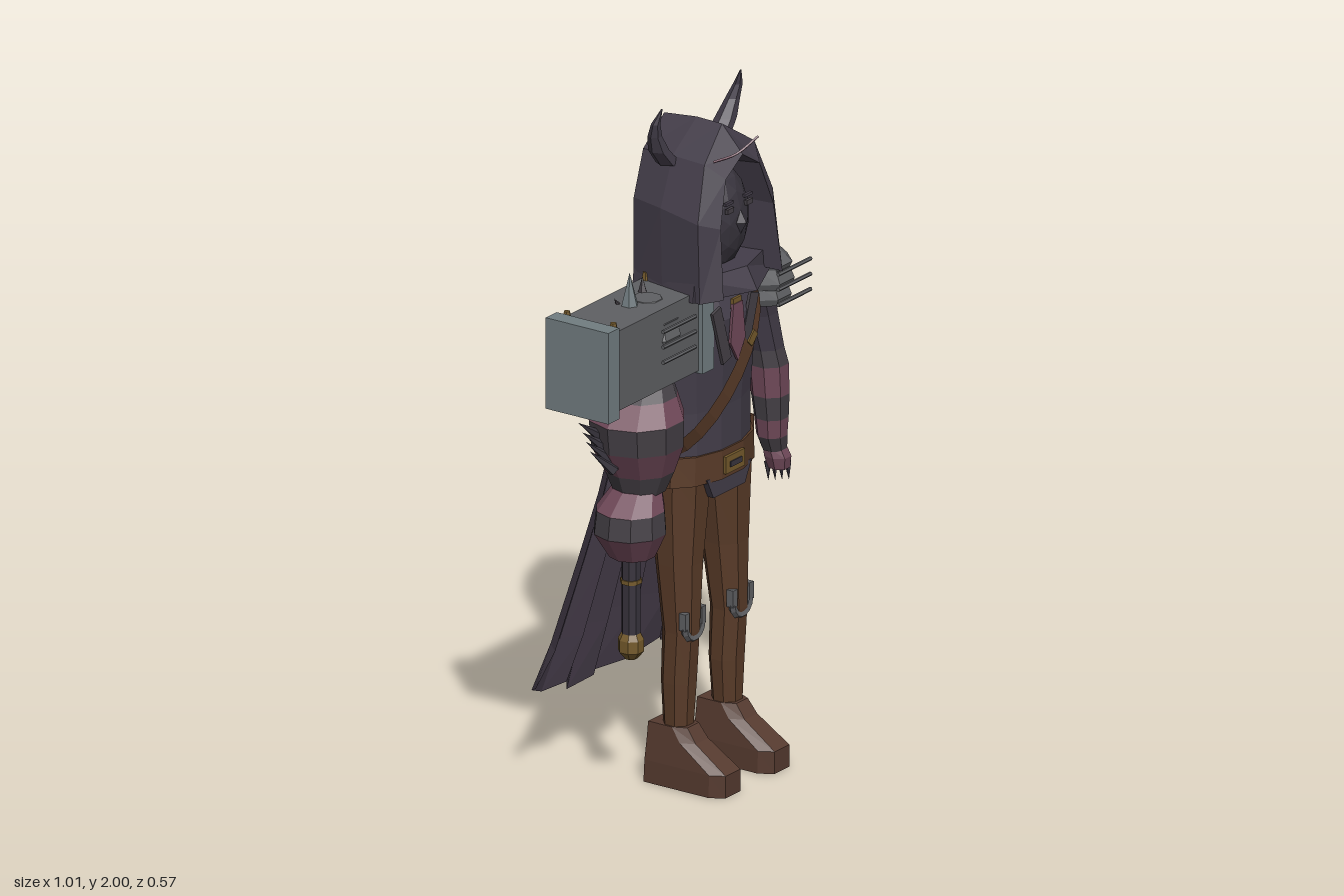
import * as THREE from 'three';

const mat = (name, color, side = THREE.FrontSide) =>
  new THREE.MeshStandardMaterial({ name, color, side, flatShading: true });
const M = {
  cloth: mat('hood cloth', 0x433d49, THREE.DoubleSide),
  cape: mat('cape cloth', 0x433a47, THREE.DoubleSide),
  shadow: mat('dark face', 0x38343d),
  stripe: mat('dark hide', 0x454046),
  pink: mat('pink hide', 0x704959),
  leather: mat('brown leather', 0x593b28, THREE.DoubleSide),
  boot: mat('boot leather', 0x553a2f),
  steel: mat('steel', 0x5f6063),
  edge: mat('light steel', 0x727d81),
  gold: mat('gold', 0x745a2c),
};

export function createModel() {
  const model = new THREE.Group();
  model.name = 'hoodedWarrior';
  const body = new THREE.Group();
  body.name = 'body';
  body.position.x = 0.075;
  model.add(body);

  const add = (name, geo, material, x = 0, y = 0, z = 0) => {
    const g = geo.index ? geo.toNonIndexed() : geo;
    g.computeVertexNormals();
    const mesh = new THREE.Mesh(g, material);
    mesh.name = name;
    mesh.position.set(x, y, z);
    body.add(mesh);
    return mesh;
  };
  const box = (name, m, w, h, d, x, y, z) => add(name, new THREE.BoxGeometry(w, h, d), m, x, y, z);

  // Skin a list of cross-sections
  const loft = (rings, closed = true, caps = true) => {
    const n = rings[0].length, pos = rings.flat(2), idx = [];
    for (let r = 0; r < rings.length - 1; r++)
      for (let i = 0; i < (closed ? n : n - 1); i++) {
        const a = r * n + i, b = r * n + (i + 1) % n;
        idx.push(a, b, a + n, b, b + n, a + n);
      }
    if (caps) {
      const top = (rings.length - 1) * n;
      for (let i = 1; i < n - 1; i++) idx.push(0, i + 1, i, top, top + i, top + i + 1);
    }
    const g = new THREE.BufferGeometry();
    g.setAttribute('position', new THREE.Float32BufferAttribute(pos, 3));
    g.setIndex(idx);
    return g;
  };
  // Elliptical ring from [x, y, z, rx, rz]
  const ring = ([x, y, z, rx, rz = rx], n, s = 1) => Array.from({ length: n }, (_, i) => {
    const a = (i + 0.5) / n * Math.PI * 2;
    return [x * s + Math.sin(a) * rx, y, z + Math.cos(a) * rz];
  });
  const limb = (name, m, rows, n = 8, s = 1) => add(name, loft(rows.map(r => ring(r, n, s))), m);
  // Limb whose material alternates per segment
  const striped = (name, mats, rows, n) => {
    for (let i = 0; i < rows.length - 1; i++) limb(name + (i + 1), mats[i], [rows[i], rows[i + 1]], n);
  };
  const spike = (name, m, from, to, r, n = 5) => {
    const a = new THREE.Vector3(...from), d = new THREE.Vector3(...to).sub(a);
    const c = add(name, new THREE.ConeGeometry(r, d.length(), n), m);
    c.position.copy(a).addScaledVector(d, 0.5);
    c.quaternion.setFromUnitVectors(new THREE.Vector3(0, 1, 0), d.normalize());
  };

  // Hood: mirrored arch sections from inner rim to flat back
  const arch = half => [...half, ...half.slice(0, 3).reverse().map(([x, y, z]) => [-x, y, z])];
  add('hood', loft([
    [[-.11, 1.47, .15], [-.11, 1.66, .13], [-.07, 1.78, .13], [0, 1.83, .13]],
    [[-.14, 1.46, .27], [-.125, 1.66, .25], [-.08, 1.79, .235], [0, 1.84, .235]],
    [[-.183, 1.45, .22], [-.178, 1.68, .21], [-.118, 1.835, .19], [0, 1.915, .165]],
    [[-.165, 1.45, .08], [-.172, 1.7, .08], [-.115, 1.838, .08], [0, 1.917, .08]],
    [[-.145, 1.45, -.03], [-.145, 1.7, -.03], [-.1, 1.83, -.03], [0, 1.905, -.03]],
    [[0, 1.45, -.03], [0, 1.65, -.03], [0, 1.8, -.03], [0, 1.905, -.03]],
  ].map(arch), false, false), M.cloth);
  const cowlRing = (y, w, f, b) => [[0, y, f], [w, y, .2], [w * .8, y, -.03], [0, y, b], [-w * .8, y, -.03], [-w, y, .2]];
  add('cowl', loft([cowlRing(1.45, .188, .285, -.09), cowlRing(1.515, .178, .25, -.03)]), M.cloth);

  // Face
  add('face', new THREE.IcosahedronGeometry(1, 2).scale(.115, .165, .11), M.shadow, 0, 1.64, .12);
  for (const s of [-1, 1]) {
    box('eye', M.stripe, .03, .014, .009, s * .045, 1.685, .223);
    box('brow', M.cloth, .035, .008, .009, s * .045, 1.705, .219);
    limb('horn', M.cloth, [[.115, 1.815, .065, .035], [.16, 1.865, .065, .03], [.185, 1.915, .07, .02],
      [.195, 1.955, .08, .013], [.187, 2, .095, .002]], 6, s);
  }
  add('nose', new THREE.OctahedronGeometry(1).scale(.02, .035, .02), M.shadow, 0, 1.64, .228);
  const curl = new THREE.CatmullRomCurve3([[-.12, 1.85, .22], [-.05, 1.86, .25], [.01, 1.9, .28]]
    .map(p => new THREE.Vector3(...p)));
  add('hoodThread', new THREE.TubeGeometry(curl, 8, .004, 4), M.pink);

  // Torso, collar and tie
  limb('torso', M.cloth, [[0, .95, .1, .18, .1], [0, 1.1, .1, .18, .1], [0, 1.25, .095, .195, .115],
    [0, 1.36, .09, .2, .125], [0, 1.42, .08, .16, .1], [0, 1.47, .08, .08, .08]], 12);
  const tie = new THREE.Shape([[-.022, 1.4], [-.035, 1.29], [0, 1.23], [.035, 1.29], [.022, 1.4]]
    .map(p => new THREE.Vector2(...p)));
  add('tie', new THREE.ExtrudeGeometry(tie, { depth: .008, bevelEnabled: false }), M.pink, 0, 0, .212);
  box('collarPin', M.gold, .04, .03, .009, 0, 1.4, .213);
  for (const s of [-1, 1]) {
    const lapel = box('lapel', M.stripe, .04, .17, .009, s * .065, 1.32, .208);
    lapel.rotation.z = -s * .3;
  }

  // Diagonal strap wrapped around the torso
  const band = o => Array.from({ length: 24 }, (_, i) => {
    const a = i / 24 * Math.PI * 2;
    return [.195 * Math.cos(a) - o * .7, 1.195 + .205 * Math.cos(a) + o * .7, .095 + .125 * Math.sin(a)];
  });
  add('chestStrap', loft([band(-.028), band(.028)], true, false), M.leather);
  box('strapBuckle', M.gold, .025, .04, .009, .075, 1.272, .213).rotation.z = -.8;

  // Belt, buckle, pouch, flap
  limb('belt', M.leather, [[0, .89, .1, .2, .105], [0, .975, .1, .195, .105]], 12);
  box('buckle', M.gold, .09, .05, .012, 0, .93, .205);
  box('buckleInset', M.shadow, .055, .016, .008, 0, .93, .211);
  box('beltPouch', M.leather, .065, .13, .1, .21, .905, .05);
  const flap = new THREE.Shape([[-.105, .9], [-.075, .84], [.075, .84], [.105, .9]].map(p => new THREE.Vector2(...p)));
  add('beltFlap', new THREE.ExtrudeGeometry(flap, { depth: .02, bevelEnabled: false }), M.cloth, 0, 0, .17);
  limb('hips', M.leather, [[0, .83, .09, .1, .07], [0, .9, .095, .185, .095]], 10);

  // Legs, knee guards, boots
  const sole = (s, y, w, f, b) => [[.6, f], [1, f - .04], [1, b], [-1, b], [-1, f - .04], [-.6, f]]
    .map(([k, z]) => [s * .116 + k * w, y, z]);
  for (const s of [-1, 1]) {
    limb('leg', M.leather, [[.116, .15, .1, .042, .042], [.113, .3, .1, .053, .05], [.113, .45, .107, .052, .053],
      [.108, .65, .097, .068, .068], [.1, .82, .09, .083, .085], [.1, .92, .09, .085, .09]], 8, s);
    const knee = add('kneeGuard', new THREE.TorusGeometry(.039, .012, 5, 7, Math.PI), M.steel, s * .113, .47, .148);
    knee.rotation.z = Math.PI;
    for (const k of [-1, 1]) box('kneeGuardEnd', M.steel, .02, .05, .022, s * .113 + k * .039, .49, .146);
    add('boot', loft([sole(s, 0, .06, .285, .025), sole(s, .065, .058, .285, .027),
      sole(s, .135, .05, .18, .03), sole(s, .175, .045, .15, .03)]), M.boot);
  }

  // Shoulder guards: three tiers, front rods, spikes
  for (const s of [-1, 1]) {
    for (let k = 0; k < 3; k++) {
      const r = [.084, .092, .086][k], y = 1.305 + k * .048;
      limb('shoulderTier', M.steel, [[.27, y, .1, r * .9, r], [.27, y + .02, .1, r, r * 1.1],
        [.265, y + .07, .1, r * (k < 2 ? .85 : .5), r * (k < 2 ? .9 : .5)]], 8, s);
      const rod = add('shoulderRod', new THREE.CylinderGeometry(.006, .006, .155, 6), M.steel, s * .273, 1.42 - k * .045, .215);
      rod.rotation.z = Math.PI / 2;
      spike('shoulderSpike', M.stripe, [s * (.235 + k * .045), 1.455 - k * .01, .065],
        [s * (.23 + k * .067), 1.515 - k * .013, .06], .017);
    }
  }

  // Slim left arm
  striped('leftArm', [M.stripe, M.pink, M.stripe, M.pink, M.stripe, M.cloth, M.cloth], [
    [.347, .84, .1, .036], [.327, .885, .1, .044], [.325, .94, .1, .049], [.322, 1.01, .098, .055],
    [.318, 1.1, .095, .058], [.31, 1.15, .09, .054], [.28, 1.26, .085, .058], [.235, 1.38, .085, .07]].map((r, i) =>
    i === 0 ? [.34, .84, .1, .036] : r), 8);
  limb('leftHand', M.pink, [[.345, .785, .11, .028, .032], [.343, .82, .108, .036, .04], [.34, .85, .1, .034]], 7);
  for (let i = 0; i < 4; i++)
    spike('leftFinger', M.shadow, [.328 + i * .011, .8, .085 + i * .015], [.325 + i * .013, .745, .09 + i * .014], .011);

  // Swollen right arm and fist
  const P = M.pink, D = M.stripe;
  striped('rightArm', [D, P, D, P, D, P, P], [
    [-.3, .92, .1, .075], [-.298, .98, .1, .1], [-.31, 1.06, .1, .133], [-.315, 1.14, .1, .138],
    [-.295, 1.2, .1, .105], [-.27, 1.25, .1, .07], [-.245, 1.31, .1, .068], [-.235, 1.42, .1, .075]], 10);
  striped('rightFist', [P, D, P], [[-.335, .735, .1, .065], [-.345, .81, .1, .104], [-.342, .875, .1, .098],
    [-.31, .93, .1, .07]], 10);

  // Elbow spikes on both arms
  for (const [s, x] of [[1, .355], [-1, .42]])
    for (let i = 0; i < 4; i++)
      spike('elbowSpike', M.shadow, [s * x, 1.01 + i * .03, .1 - i * .015],
        [s * (x + .06 + i * .004), 1.075 + i * .027, .06 - i * .01], .018);

  // Hammer
  box('hammerHead', M.steel, .42, .235, .185, -.33, 1.352, .093);
  box('hammerCapOuter', M.edge, .052, .268, .212, -.56, 1.352, .093);
  box('hammerCapInner', M.edge, .055, .235, .212, -.113, 1.345, .093);
  spike('hammerSpike', M.edge, [-.337, 1.465, .093], [-.337, 1.565, .093], .026, 6);
  for (const x of [-.525, -.15]) for (const z of [.015, .172])
    add('hammerStud', new THREE.CylinderGeometry(.009, .014, .025, 6), M.gold, x, 1.48, z);
  limb('hammerHandle', M.shadow, [[-.34, .5, .1, .027], [-.34, .92, .1, .027]], 8);
  for (const y of [.655, .73]) limb('handleRing', M.gold, [[-.34, y, .1, .031], [-.34, y + .012, .1, .031]], 8);
  limb('pommel', M.gold, [[-.34, .432, .1, .018], [-.34, .455, .1, .037], [-.34, .49, .1, .037], [-.34, .52, .1, .02]], 8);

  // Pleated cape: hem [x, y, z], narrowed and pulled forward row by row
  const hem = [[-.385, .29, -.19], [-.335, .26, -.24], [-.285, .24, -.242], [-.225, .26, -.2], [-.145, .2, -.257],
    [-.075, .23, -.215], [0, .2, -.288], [.075, .23, -.215], [.145, .2, -.26], [.225, .25, -.205], [.29, .21, -.25], [.385, .27, -.2]];
  const rows = [[1.44, .42, -.02, .4], [1.37, .5, -.055, .55], [1.05, .63, -.08, .7], [.85, .72, -.118, .78],
    [.65, .81, -.17, .85], [.4, .92, -.24, .95], [null, 1, -.288, 1]];
  add('cape', loft(rows.map(([y, s, z, f]) => hem.map(p => [p[0] * s, y ?? p[1], z + (p[2] + .288) * f])), false, false), M.cape);

  return model;
}
